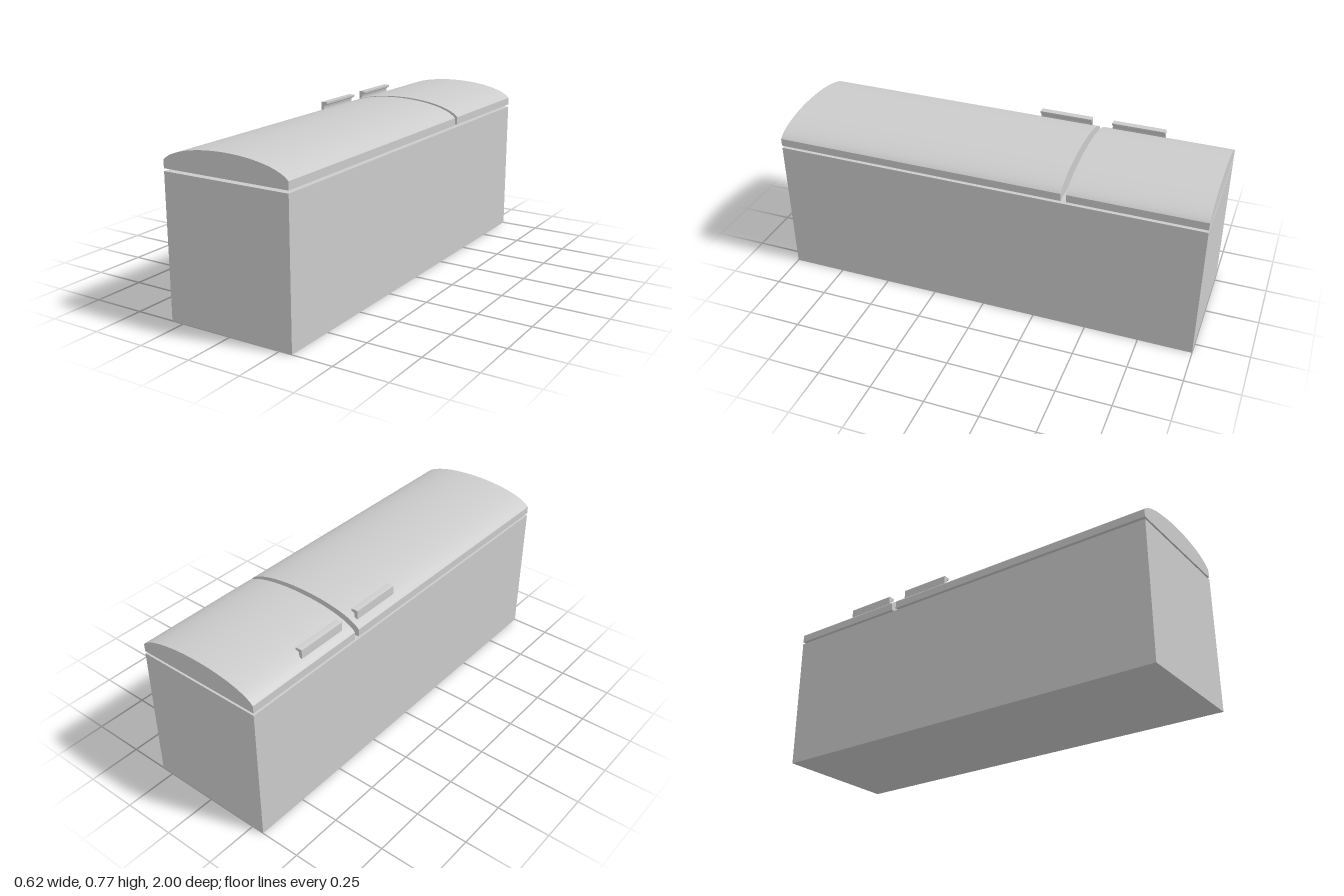
import * as THREE from 'three';
import { toCreasedNormals } from 'three/addons/utils/BufferGeometryUtils.js';

const HALF_WIDTH = 0.311;
const material = new THREE.MeshStandardMaterial({ color: 0xcccccc });

function addMesh(group, name, geometry) {
  const mesh = new THREE.Mesh(geometry, material);
  mesh.name = name;
  group.add(mesh);
  return mesh;
}

// Extrude a cross-section in x/y between two z positions
function extrudeBetween(shape, z0, z1) {
  const geometry = new THREE.ExtrudeGeometry(shape, {
    depth: z1 - z0, bevelEnabled: false, curveSegments: 12,
  });
  geometry.translate(0, 0, z0);
  return toCreasedNormals(geometry, 0.4);
}

// Door section: flat underside, short sides, bowed elliptical face
function doorShape() {
  const rx = 0.32, ry = 0.092, cy = 0.68, steps = 40;
  const start = Math.acos(HALF_WIDTH / rx);
  const shape = new THREE.Shape();
  shape.moveTo(-HALF_WIDTH, 0.666);
  shape.lineTo(HALF_WIDTH, 0.666);
  for (let i = 0; i <= steps; i++) {
    const a = start + (Math.PI - 2 * start) * i / steps;
    shape.lineTo(rx * Math.cos(a), cy + ry * Math.sin(a));
  }
  shape.closePath();
  return shape;
}

// Handle section: stem with an overhanging finger lip
function handleShape() {
  const shape = new THREE.Shape();
  shape.moveTo(-0.28, 0.722);
  shape.lineTo(-0.266, 0.729);
  shape.quadraticCurveTo(-0.268, 0.755, -0.254, 0.755);
  shape.quadraticCurveTo(-0.248, 0.755, -0.248, 0.759);
  shape.lineTo(-0.248, 0.768);
  shape.lineTo(-0.278, 0.768);
  shape.quadraticCurveTo(-0.28, 0.768, -0.28, 0.766);
  shape.closePath();
  return shape;
}

export function createModel() {
  const model = new THREE.Group();
  model.name = 'refrigerator';

  // Cabinet lying on its back
  addMesh(model, 'cabinet', new THREE.BoxGeometry(2 * HALF_WIDTH, 0.654, 2))
    .position.y = 0.327;

  // Doors, separated from the cabinet and each other by narrow gaps
  const door = doorShape();
  addMesh(model, 'freezerDoor', extrudeBetween(door, -1, -0.388));
  addMesh(model, 'mainDoor', extrudeBetween(door, -0.363, 1));

  // Handles on either side of the door gap
  const handle = handleShape();
  addMesh(model, 'freezerHandle', extrudeBetween(handle, -0.685, -0.435));
  addMesh(model, 'mainHandle', extrudeBetween(handle, -0.335, -0.085));

  return model;
}
